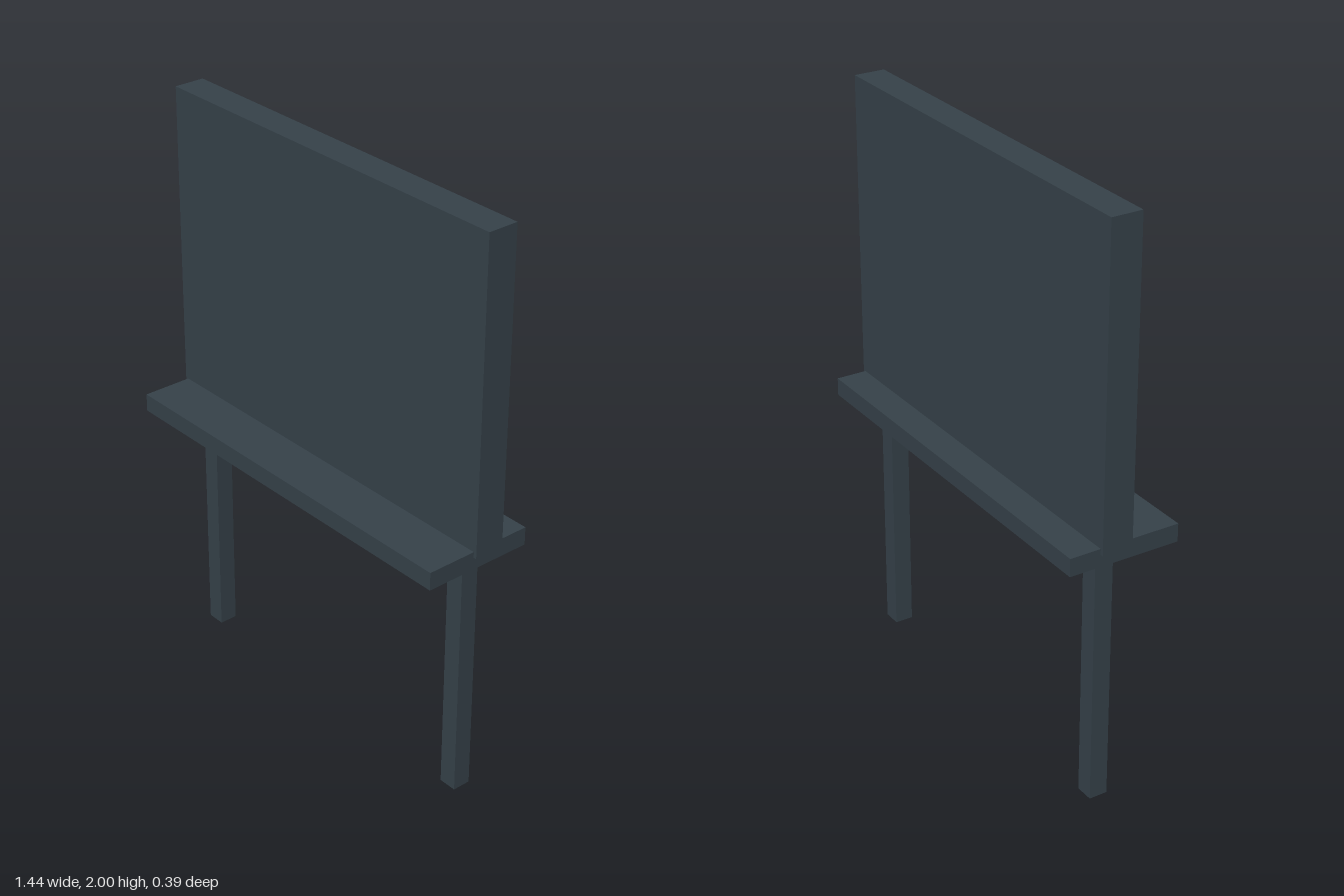
import * as THREE from 'three';

export function createModel() {
  const group = new THREE.Group();
  const slate = new THREE.MeshStandardMaterial({ color: 0x36424a });
  slate.name = 'dark slate';

  // Box given by its lower and upper bounds on each axis
  function addBox(name, [x0, x1], [y0, y1], [z0, z1]) {
    const mesh = new THREE.Mesh(new THREE.BoxGeometry(x1 - x0, y1 - y0, z1 - z0), slate);
    mesh.position.set((x0 + x1) / 2, (y0 + y1) / 2, (z0 + z1) / 2);
    mesh.name = name;
    group.add(mesh);
  }

  // Upright panel, sunk slightly into the shelf
  addBox('panel', [-0.718, 0.718], [0.932, 2], [-0.087, 0.02]);

  // Horizontal shelf
  addBox('shelf', [-0.707, 0.707], [0.89, 0.952], [-0.195, 0.195]);

  // Two square posts
  addBox('rightLeg', [-0.647, -0.583], [0, 0.89], [-0.063, 0.001]);
  addBox('leftLeg', [0.577, 0.641], [0, 0.89], [-0.063, 0.001]);

  return group;
}
